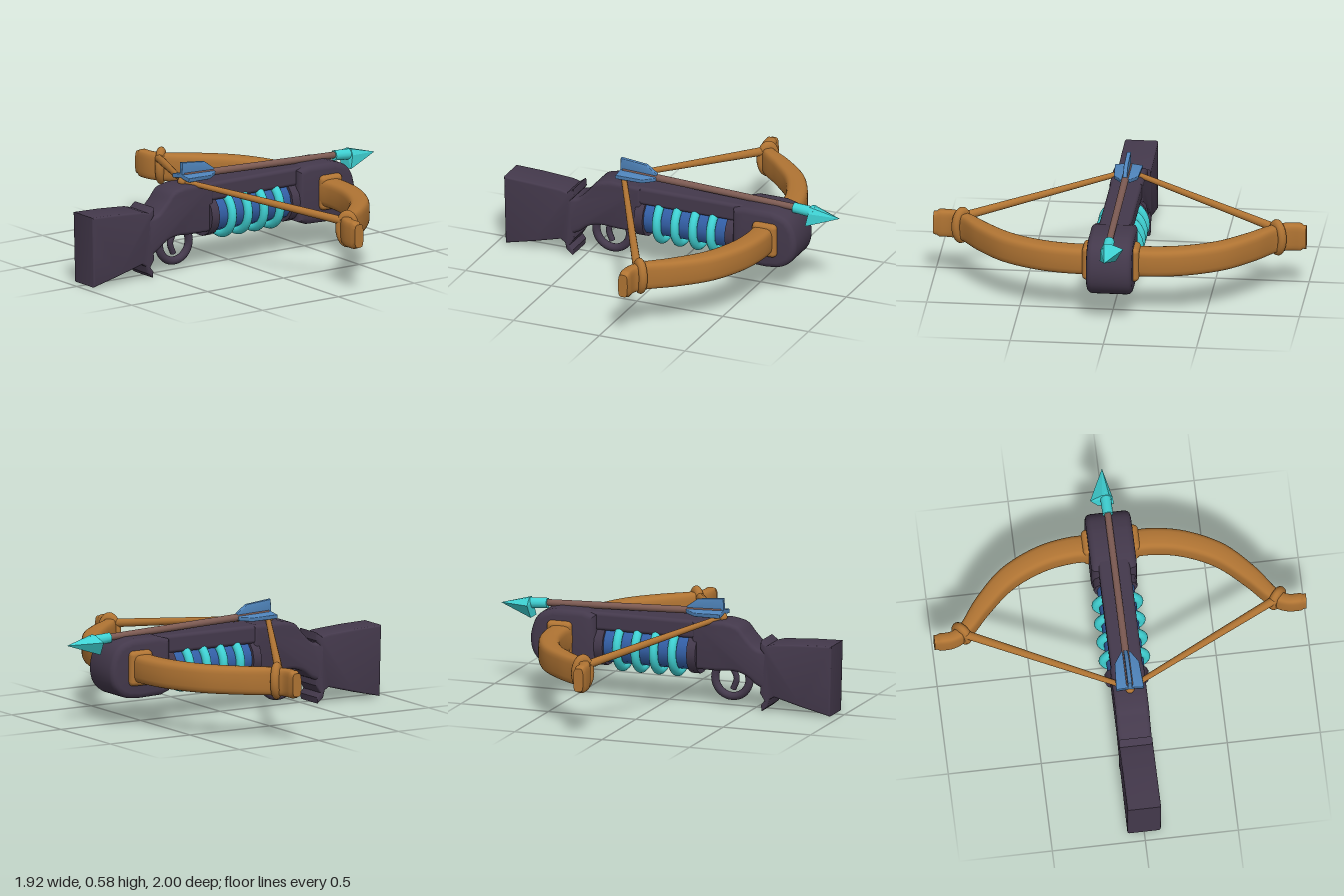
import * as THREE from 'three';
import { toCreasedNormals } from 'three/addons/utils/BufferGeometryUtils.js';
import { RoundedBoxGeometry } from 'three/addons/geometries/RoundedBoxGeometry.js';

const V = (x, y, z) => new THREE.Vector3(x, y, z);

function material(name, hex) {
  const m = new THREE.MeshStandardMaterial({ color: hex });
  m.name = name;
  return m;
}

// Side profile extruded across z, centred, with bevels kept inside the outline
function slab(points, width, bevel) {
  const shape = new THREE.Shape(points.map(([x, y]) => new THREE.Vector2(x, y)));
  const geo = new THREE.ExtrudeGeometry(shape, {
    depth: width - 2 * bevel, bevelEnabled: bevel > 0, bevelSize: bevel,
    bevelThickness: bevel, bevelOffset: -bevel, bevelSegments: 3,
  });
  geo.translate(0, 0, -(width - 2 * bevel) / 2);
  return toCreasedNormals(geo, 0.6);
}

// Smooth open curve through 2D points
const smooth = (pts, n) =>
  new THREE.SplineCurve(pts.map(p => new THREE.Vector2(...p))).getPoints(n).map(p => [p.x, p.y]);

// Loft of rounded-rectangle sections along a level curve
function limb(path, widths, halfHeight) {
  const curve = new THREE.CatmullRomCurve3(path), up = V(0, 1, 0);
  const steps = 48, sides = 24, pos = [], idx = [];
  const round = v => Math.sign(v) * Math.abs(v) ** 0.5;
  for (let i = 0; i <= steps; i++) {
    const u = i / steps, f = u * (widths.length - 1);
    const k = Math.min(Math.floor(f), widths.length - 2);
    const w = THREE.MathUtils.lerp(widths[k], widths[k + 1], f - k);
    const c = curve.getPoint(u), n = up.clone().cross(curve.getTangent(u)).normalize();
    const end = u > 0.97 ? 0.85 : 1;
    for (let j = 0; j < sides; j++) {
      const a = (j / sides) * Math.PI * 2;
      const p = c.clone().addScaledVector(n, w * end * round(Math.cos(a)));
      pos.push(p.x, p.y + halfHeight * end * round(Math.sin(a)), p.z);
    }
  }
  for (let i = 0; i < steps; i++) for (let j = 0; j < sides; j++) {
    const a = i * sides + j, b = i * sides + (j + 1) % sides;
    idx.push(a, b, a + sides, b, b + sides, a + sides);
  }
  const last = steps * sides;
  for (let j = 1; j < sides - 1; j++) idx.push(last, last + j, last + j + 1);
  const geo = new THREE.BufferGeometry();
  geo.setAttribute('position', new THREE.Float32BufferAttribute(pos, 3));
  geo.setIndex(idx);
  return toCreasedNormals(geo, 0.7);
}

export function createModel() {
  const model = new THREE.Group();
  const dark = material('dark stock', 0x44394c);
  const wood = material('amber wood', 0xb07433);
  const teal = material('bright teal', 0x3fd2d4);
  const blue = material('barrel blue', 0x335fa6);
  const feather = material('feather blue', 0x4f84bb);
  const brown = material('shaft brown', 0x7d5b53);

  const add = (name, geo, mat, x = 0, y = 0, z = 0, parent = model) => {
    const mesh = new THREE.Mesh(geo, mat);
    mesh.name = name;
    mesh.position.set(x, y, z);
    parent.add(mesh);
    return mesh;
  };
  const rod = (name, a, b, ra, rb, mat) => {
    const mesh = add(name, new THREE.CylinderGeometry(rb, ra, a.distanceTo(b), 14), mat);
    mesh.position.copy(a).lerp(b, 0.5);
    mesh.quaternion.setFromUnitVectors(V(0, 1, 0), b.clone().sub(a).normalize());
    return mesh;
  };
  // Disc or band around the barrel axis
  const band = (name, x0, x1, r, mat) =>
    rod(name, V(x0, 0.28, 0), V(x1, 0.28, 0), r, r, mat);

  // Butt with curled lips where it meets the grip
  add('butt', slab([
    [-0.96, 0.39], [-0.955, 0.2], [-0.95, 0.005], [-0.78, 0.045], [-0.63, 0.085], [-0.605, 0.07],
    [-0.595, 0.03], [-0.56, 0.002], [-0.555, 0.035], [-0.575, 0.06], [-0.55, 0.1],
    [-0.56, 0.2], [-0.57, 0.32], [-0.55, 0.345], [-0.555, 0.388], [-0.59, 0.362], [-0.63, 0.373],
    [-0.8, 0.385],
  ], 0.18, 0.01), dark);

  // Curved grip rising to the rail
  add('grip', slab([
    ...smooth([[-0.6, 0.33], [-0.53, 0.34], [-0.47, 0.395], [-0.42, 0.45], [-0.34, 0.47]], 20),
    [-0.16, 0.462], [-0.16, 0.2],
    ...smooth([[-0.3, 0.2], [-0.4, 0.205], [-0.47, 0.185], [-0.53, 0.14], [-0.6, 0.115]], 16),
  ], 0.18, 0.02), dark);
  add('rail', new RoundedBoxGeometry(0.7, 0.1, 0.17, 3, 0.02), dark, 0.15, 0.415, 0);

  // Rounded nose block
  add('noseBlock', slab([
    [0.385, 0.17], [0.44, 0.15],
    ...smooth([[0.58, 0.145], [0.67, 0.16], [0.735, 0.215], [0.755, 0.3], [0.735, 0.39],
      [0.69, 0.445], [0.61, 0.47]], 24),
    [0.45, 0.47], [0.385, 0.45],
  ], 0.245, 0.03), dark);

  // Trigger and its guard
  add('triggerGuard', new THREE.TorusGeometry(0.098, 0.022, 12, 40), dark, -0.36, 0.148, 0);
  add('trigger', new THREE.TubeGeometry(new THREE.CatmullRomCurve3(
    [V(-0.36, 0.21, 0), V(-0.385, 0.15, 0), V(-0.365, 0.09, 0)]), 12, 0.017, 8), dark);

  // Barrel with end collars and glowing coils
  band('barrel', -0.16, 0.4, 0.1, blue);
  band('rearCollar', -0.19, -0.14, 0.118, dark);
  band('frontCollar', 0.34, 0.39, 0.118, dark);
  for (const x of [-0.057, 0.048, 0.153, 0.258]) {
    add('coil', new THREE.TorusGeometry(0.115, 0.024, 12, 40), teal, x, 0.275, 0).rotation.y = Math.PI / 2;
  }

  // Bow limbs, sockets, knots and string
  const outline = [[0.57, 0.1], [0.57, 0.22], [0.54, 0.38], [0.45, 0.57], [0.31, 0.72],
    [0.18, 0.83], [0.14, 0.9], [0.137, 1.0]];
  for (const s of [1, -1]) {
    const half = new THREE.Group();
    half.name = s > 0 ? 'rightBowHalf' : 'leftBowHalf';
    model.add(half);
    add('limb', limb(outline.map(([x, z]) => V(x, 0.315, z * s)),
      [0.062, 0.062, 0.06, 0.056, 0.048, 0.036, 0.032, 0.032], 0.075), wood, 0, 0, 0, half);
    add('socket', new RoundedBoxGeometry(0.14, 0.19, 0.06, 3, 0.025), wood, 0.58, 0.315, 0.123 * s, half);
    const knot = add('knot', new THREE.TorusGeometry(0.052, 0.024, 12, 28), wood, 0.17, 0.32, 0.847 * s, half);
    knot.rotation.y = -s * 0.75;
    knot.scale.set(0.85, 1.35, 1);
    half.add(rod('string', V(-0.3, 0.478, 0), V(0.145, 0.365, 0.83 * s), 0.014, 0.023, wood));
  }
  add('stringNock', new THREE.SphereGeometry(0.025, 14, 10), wood, -0.305, 0.478, 0);

  // Arrow shaft
  const tail = V(-0.3, 0.508, 0), neck = V(0.72, 0.472, 0);
  rod('arrowShaft', tail, neck, 0.02, 0.018, brown);

  // Three-bladed arrowhead
  const head = new THREE.Group();
  head.name = 'arrowhead';
  head.position.set(0.7, 0.47, 0);
  head.rotation.z = -0.07;
  model.add(head);
  add('headSocket', new THREE.CylinderGeometry(0.03, 0.028, 0.12, 12), teal, 0.055, 0, 0, head)
    .rotation.z = -Math.PI / 2;
  const blades = new THREE.ConeGeometry(1, 0.18, 6, 1).toNonIndexed();
  const p = blades.attributes.position;
  for (let i = 0; i < p.count; i++) {
    const r = Math.hypot(p.getX(i), p.getZ(i));
    if (r < 0.01) continue;
    const a = Math.atan2(p.getZ(i), p.getX(i));
    const k = Math.round(a / (Math.PI / 3));
    const size = Math.abs(k) % 2 ? 0.085 : 0.037;
    p.setXYZ(i, Math.cos(a) * size, p.getY(i) - (size > 0.05 ? 0 : -0.01), Math.sin(a) * size);
  }
  blades.computeVertexNormals();
  blades.rotateZ(-Math.PI / 2);
  add('blades', blades, teal, 0.173, 0, 0, head);

  // Three swept feathers
  const fin = slab([[-0.02, 0], [-0.02, 0.075], [0.13, 0.065], [0.19, 0.025], [0.2, 0]], 0.024, 0.005);
  for (const a of [0, 1.72, -1.72]) {
    const feathers = add('feather', fin, feather, -0.295, 0.507, 0);
    feathers.rotation.set(a, 0, -0.035);
    feathers.rotation.order = 'ZYX';
  }
  return model;
}
